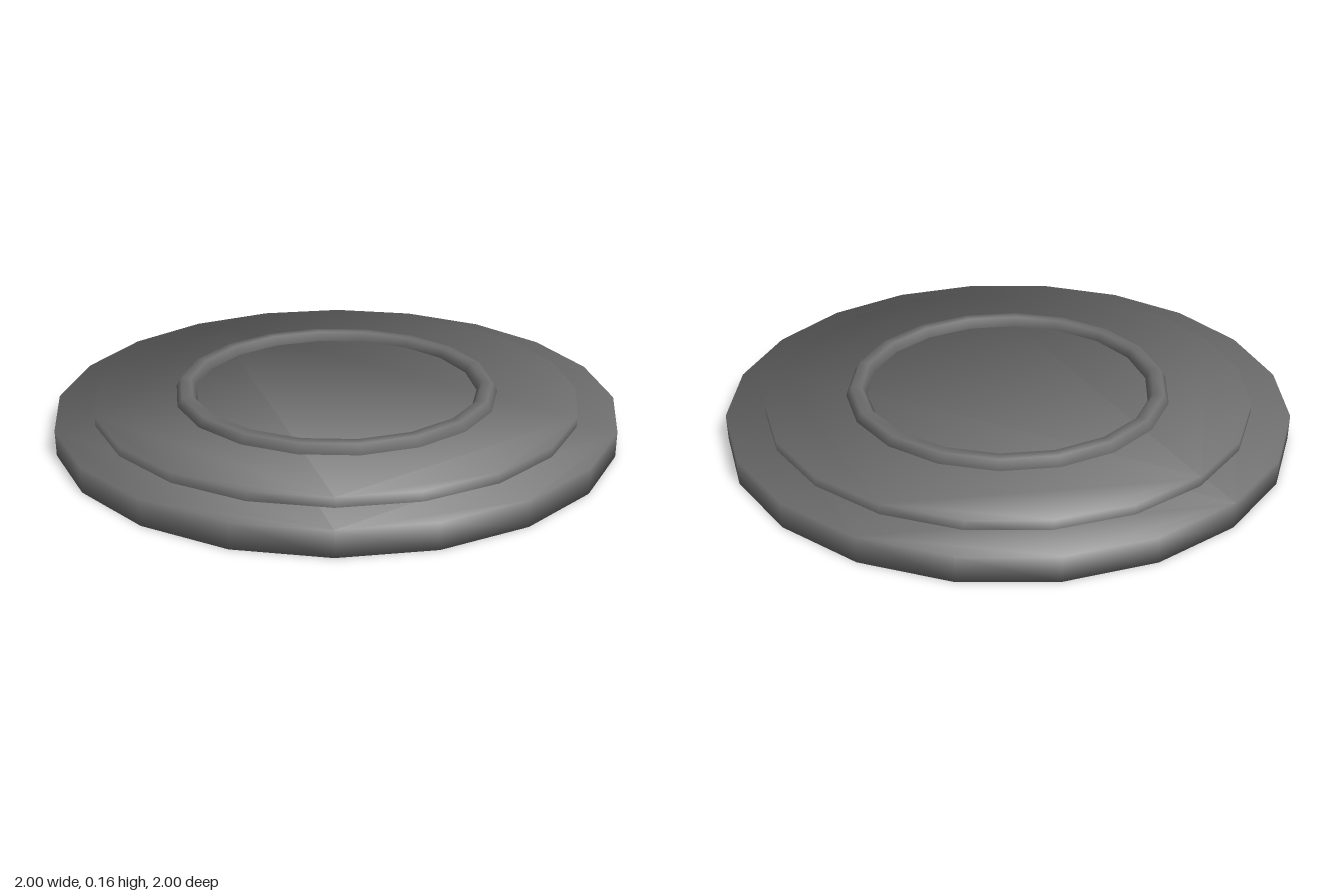
import * as THREE from 'three';

const grey = new THREE.MeshStandardMaterial({ color: 0x707070 });
grey.name = 'dark grey';

// Twenty-sided plate, its normals softened across the rim
function plate(name, radius, bottom, top) {
  const points = [];
  for (let i = 0; i < 20; i++) {
    const a = (i / 20) * Math.PI * 2;
    points.push(new THREE.Vector2(radius * Math.cos(a), radius * Math.sin(a)));
  }
  const geometry = new THREE.ExtrudeGeometry(new THREE.Shape(points), {
    depth: top - bottom,
    bevelEnabled: false,
  });
  geometry.rotateX(-Math.PI / 2).translate(0, bottom, 0);

  const position = geometry.attributes.position;
  const normal = new THREE.Vector3();
  const middle = (bottom + top) / 2;
  for (let i = 0; i < position.count; i++) {
    normal
      .set(position.getX(i) / radius, Math.sign(position.getY(i) - middle), position.getZ(i) / radius)
      .normalize();
    geometry.attributes.normal.setXYZ(i, normal.x, normal.y, normal.z);
  }
  const mesh = new THREE.Mesh(geometry, grey);
  mesh.name = name;
  return mesh;
}

export function createModel() {
  const group = new THREE.Group();
  group.name = 'steppedDisc';

  // Wide base and the raised step on it
  group.add(plate('base', 1, 0, 0.091));
  group.add(plate('upperStep', 0.863, 0.06, 0.126));

  // Half-sunk ring with a six-sided section
  const ring = new THREE.Mesh(new THREE.TorusGeometry(0.541, 0.037, 6, 18), grey);
  ring.name = 'ring';
  ring.rotation.x = -Math.PI / 2;
  ring.position.y = 0.126;
  group.add(ring);

  return group;
}
